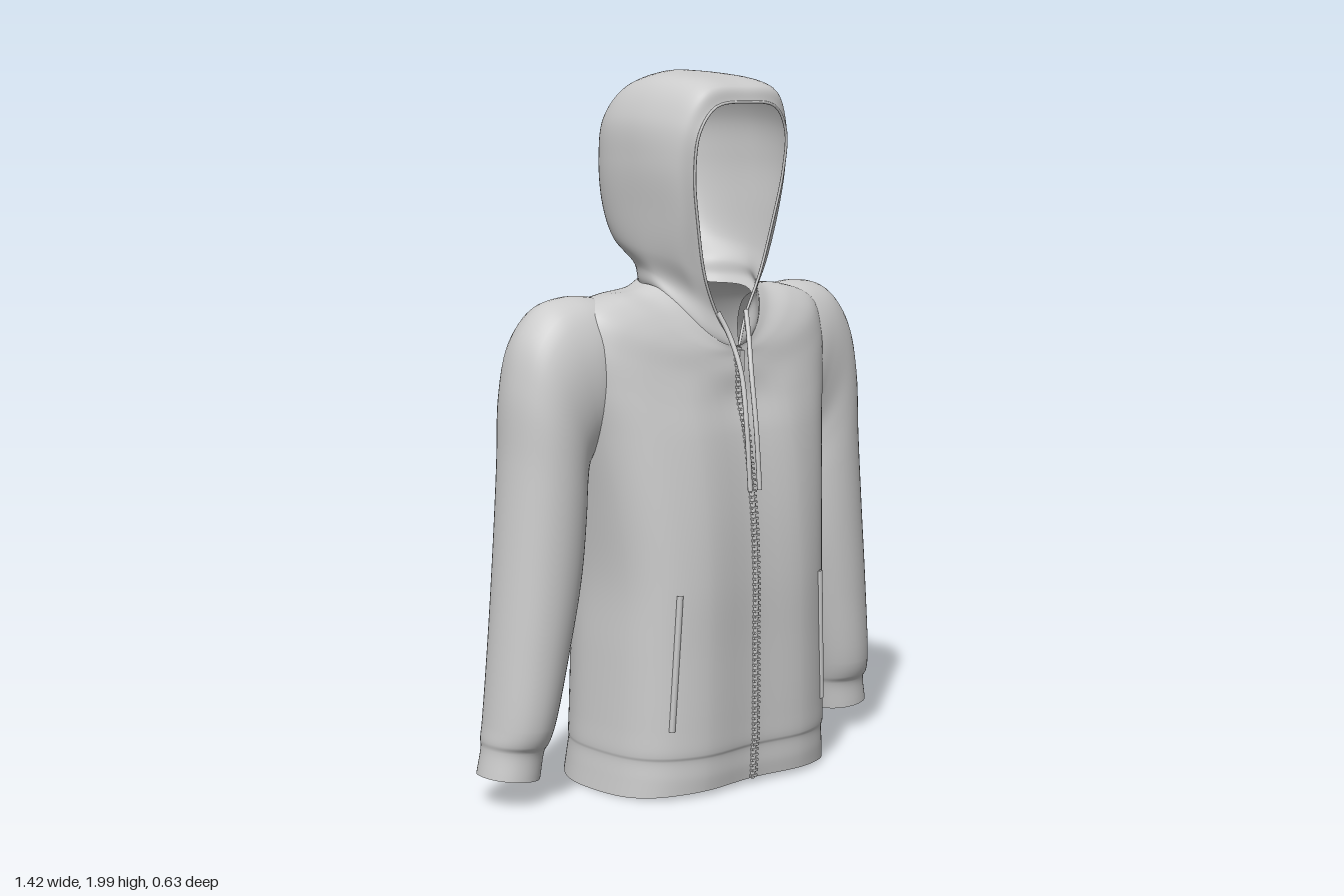
import * as THREE from 'three';
import { mergeVertices } from 'three/addons/utils/BufferGeometryUtils.js';

const V = (x, y, z) => new THREE.Vector3(x, y, z);
const mirror = (p) => V(-p.x, p.y, p.z);
const cloth = new THREE.MeshStandardMaterial({ color: 0xcccccc, roughness: 0.9, side: THREE.DoubleSide });

// Smooth surface through a grid of control points (rows of columns)
function patch(grid, nu, nv, closed = false, uMax = 1) {
  const rows = grid.map((r) => {
    const c = new THREE.CatmullRomCurve3(r, closed);
    return Array.from({ length: nv + 1 }, (_, j) => c.getPoint(j / nv));
  });
  const pos = [], idx = [];
  for (let j = 0; j <= nv; j++) {
    const c = new THREE.CatmullRomCurve3(rows.map((r) => r[j]));
    for (let i = 0; i <= nu; i++) pos.push(...c.getPoint((i / nu) * uMax).toArray());
  }
  for (let j = 0; j < nv; j++) for (let i = 0; i < nu; i++) {
    const a = j * (nu + 1) + i, b = a + nu + 1;
    idx.push(a, b, a + 1, b, b + 1, a + 1);
  }
  let g = new THREE.BufferGeometry();
  g.setAttribute('position', new THREE.Float32BufferAttribute(pos, 3));
  g.setIndex(idx);
  g = mergeVertices(g, 1e-5);
  g.computeVertexNormals();
  return g;
}

const spow = (v, p) => Math.sign(v) * Math.abs(v) ** p;

// Point on a rounded body section; angle 0 is front, rows may dip at front and rise at back
function bodyPoint([y, w, zf, zb, pf, pb, yf = y, yb = y], a) {
  const s = Math.sin(a), c = Math.cos(a), p = c > 0 ? pf : pb;
  const zc = (zf + zb) / 2, d = (zf - zb) / 2;
  const x = w * spow(s, p);
  const notch = c > 0 && y < 1.2 ? 0.018 * Math.exp(-((x / 0.05) ** 2)) : 0;
  return V(x, y + ((c > 0 ? yf : yb) - y) * c * c, zc + d * spow(c, p) - notch);
}

// side y, half width, front z, back z, front and back roundness, front y, back y
const neckRow = [1.41, 0.18, 0.205, -0.115, 1, 1, 1.24, 1.43];
const bodyRows = [
  [0.006, 0.380, 0.292, -0.307, 0.6, 0.95, 0.02, 0.025],
  [0.06, 0.374, 0.296, -0.302, 0.6, 0.95],
  [0.112, 0.369, 0.297, -0.295, 0.6, 0.95],
  [0.125, 0.371, 0.301, -0.295, 0.6, 0.95],
  [0.20, 0.368, 0.303, -0.290, 0.6, 0.93],
  [0.40, 0.362, 0.303, -0.280, 0.6, 0.9],
  [0.60, 0.358, 0.303, -0.274, 0.6, 0.85],
  [0.80, 0.378, 0.290, -0.265, 0.65, 0.8],
  [1.00, 0.410, 0.260, -0.250, 0.7, 0.76],
  [1.15, 0.440, 0.232, -0.222, 0.75, 0.76, 1.10],
  [1.27, 0.450, 0.212, -0.190, 0.8, 0.8, 1.17],
  [1.35, 0.420, 0.205, -0.160, 0.85, 0.85, 1.21, 1.34],
  [1.386, 0.320, 0.204, -0.137, 0.9, 0.9, 1.225, 1.375],
  [1.394, 0.230, 0.204, -0.122, 1, 1, 1.235, 1.40],
  neckRow,
];

// Hood half rows: opening edge, front side, side, back corner, back centre
const neckHalf = [0.05, 0.6, 1.4, 2.3, Math.PI].map((a) => bodyPoint(neckRow, a));
const hoodRows = [
  // base tucked inside the collar
  neckHalf.map((p) => V(p.x * 0.94, p.y - 0.025, 0.045 + (p.z - 0.045) * 0.94)),
  neckHalf,
  ...[
    [[0.05, 1.32, 0.185], [0.12, 1.385, 0.155], [0.178, 1.445, 0.05], [0.13, 1.46, -0.08], [0, 1.465, -0.118]],
    [[0.10, 1.43, 0.187], [0.164, 1.48, 0.15], [0.197, 1.51, 0.02], [0.155, 1.53, -0.145], [0, 1.53, -0.20]],
    [[0.138, 1.58, 0.20], [0.185, 1.60, 0.17], [0.211, 1.62, 0.02], [0.165, 1.62, -0.18], [0, 1.62, -0.226]],
    [[0.163, 1.72, 0.215], [0.202, 1.74, 0.18], [0.22, 1.75, 0.02], [0.17, 1.75, -0.19], [0, 1.75, -0.231]],
    [[0.158, 1.83, 0.23], [0.188, 1.855, 0.195], [0.208, 1.87, 0.02], [0.16, 1.865, -0.18], [0, 1.865, -0.222]],
    [[0.11, 1.897, 0.24], [0.128, 1.94, 0.222], [0.142, 1.97, 0.03], [0.115, 1.95, -0.135], [0, 1.94, -0.175]],
    [[0, 1.91, 0.243], [0, 1.952, 0.225], [0, 1.993, 0.04], [0, 1.996, -0.07], [0, 1.982, -0.115]],
  ].map((r) => r.map((p) => V(...p))),
];

// Sleeve sections: outer x, y, inner x, y, front z, back z
const sleeveRows = [
  [0.27, 1.36, 0.33, 1.04, 0.10, -0.12],
  [0.36, 1.384, 0.35, 1.00, 0.125, -0.145],
  [0.44, 1.387, 0.368, 0.96, 0.13, -0.15],
  [0.52, 1.365, 0.385, 0.93, 0.125, -0.15],
  [0.588, 1.285, 0.395, 0.90, 0.12, -0.147],
  [0.622, 1.15, 0.40, 0.86, 0.12, -0.145],
  [0.633, 0.95, 0.405, 0.78, 0.12, -0.143],
  [0.653, 0.70, 0.422, 0.62, 0.117, -0.137],
  [0.675, 0.45, 0.46, 0.44, 0.11, -0.13],
  [0.695, 0.23, 0.512, 0.22, 0.095, -0.125],
  [0.700, 0.185, 0.525, 0.172, 0.08, -0.122],
  [0.698, 0.165, 0.532, 0.152, 0.066, -0.118],
  [0.712, 0.09, 0.546, 0.07, 0.06, -0.12],
];

function sleeveRing([ox, oy, ix, iy, zf, zb], side) {
  return Array.from({ length: 12 }, (_, k) => {
    const a = (k / 12) * Math.PI * 2, t = (1 - Math.cos(a)) / 2;
    return V(side * (ox + (ix - ox) * t), oy + (iy - oy) * t,
      (zf + zb) / 2 + ((zf - zb) / 2) * spow(Math.sin(side * a), 0.9));
  });
}

export function createModel() {
  const group = new THREE.Group();
  const add = (name, geometry) => {
    const m = new THREE.Mesh(geometry, cloth);
    m.name = name;
    group.add(m);
    return m;
  };
  const cord = (name, pts, r, n = 40) =>
    add(name, new THREE.TubeGeometry(new THREE.CatmullRomCurve3(pts), n, r, 8));

  // Torso with hem band
  const angles = Array.from({ length: 24 }, (_, k) => (k / 24) * Math.PI * 2);
  add('torso', patch(bodyRows.map((r) => angles.map((a) => bodyPoint(r, a))), 98, 96, true));

  // Hood: half rows mirrored round the back, then continued over the crown for a smooth top
  const full = hoodRows.map((r) => [...r, ...r.slice(0, -1).reverse().map(mirror)]);
  const over = full.slice(0, -1).reverse().map((r) => r.map(mirror));
  add('hood', patch([...full, ...over], 64, 64, false, 0.5));

  // Hem round the hood opening
  const edge = hoodRows.slice(1).map((r) => r[0]);
  cord('hoodOpeningHem', [...edge, ...edge.slice(0, -1).reverse().map(mirror)], 0.004, 90);

  // Sleeves with cuffs
  for (const side of [1, -1]) {
    const name = side > 0 ? 'left' : 'right';
    add(name + 'Sleeve', patch(sleeveRows.map((r) => sleeveRing(r, side)), 84, 48, true));

    // Pocket slit lying on the front
    const pocket = Array.from({ length: 6 }, (_, k) => {
      const t = k / 5, x = 0.283 - 0.02 * t;
      const a = Math.asin((x / 0.364) ** (1 / 0.6));
      const p = bodyPoint([0.2 + 0.38 * t, 0.364, 0.303, -0.28, 0.6, 0.9], a);
      return V(side * p.x, p.y, p.z);
    });
    cord(name + 'Pocket', pocket, 0.009);

    // Drawstring hanging from the hood
    const endX = side > 0 ? -0.01 : -0.045;
    cord(name + 'Drawstring', [
      V(side * 0.052, 1.335, 0.185), V(side * 0.035, 1.27, 0.215),
      V((side * 0.02 + endX) / 2, 1.17, 0.26), V(endX, 1.02, 0.297), V(endX, 0.85, 0.312),
    ], 0.007);
  }

  // Zip with teeth and pull
  const zip = bodyRows.map((r) => bodyPoint(r, 0));
  cord('zip', zip, 0.008, 80);
  const zipCurve = new THREE.CatmullRomCurve3(zip);
  const teeth = new THREE.InstancedMesh(new THREE.BoxGeometry(0.022, 0.006, 0.012), cloth, 80);
  teeth.name = 'zipTeeth';
  for (let i = 0; i < 80; i++) {
    const p = zipCurve.getPointAt((i + 0.5) / 80);
    teeth.setMatrixAt(i, new THREE.Matrix4().makeTranslation(p.x, p.y, p.z + 0.004));
  }
  group.add(teeth);
  add('zipPull', new THREE.BoxGeometry(0.016, 0.06, 0.012)).position.set(0, 1.2, 0.222);

  return group;
}
